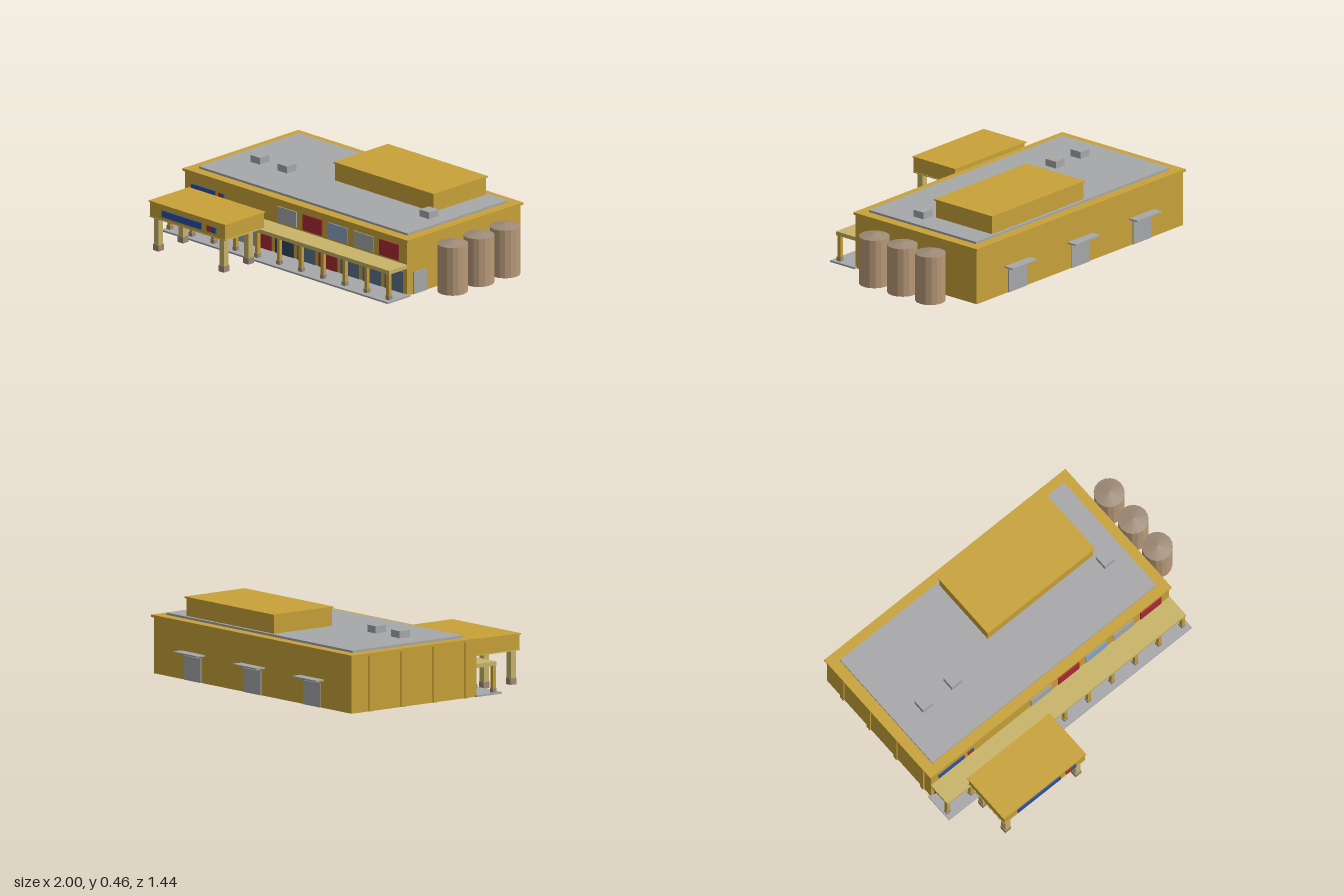
import * as THREE from 'three';

const mat = (name, color) => Object.assign(new THREE.MeshStandardMaterial({ color }), { name });

export function createModel() {
  const gold = mat('goldWall', 0xc8a239), tan = mat('tanTrim', 0xc8b468), grey = mat('grey', 0xa7a8aa);
  const red = mat('red', 0xa92a34), blue = mat('signBlue', 0x2a4fa3), sky = mat('paleGlass', 0x8ca6c4);
  const steel = mat('steelGlass', 0x5a728a), navy = mat('darkGlass', 0x33475a);
  const tankSide = mat('tankSide', 0xb99b79), brown = mat('brown', 0x9f8b78);
  tankSide.flatShading = brown.flatShading = true;

  const model = new THREE.Group();
  model.name = 'storeBuilding';

  // Box given by its limits on each axis
  const box = (name, m, x0, x1, y0, y1, z0, z1) => {
    const mesh = new THREE.Mesh(new THREE.BoxGeometry(x1 - x0, y1 - y0, z1 - z0), m);
    mesh.position.set((x0 + x1) / 2, (y0 + y1) / 2, (z0 + z1) / 2);
    mesh.name = name;
    model.add(mesh);
    return mesh;
  };
  // Square post standing on a wider foot
  const post = (name, m, x, z, w, footW, y0, footTop, top) => {
    box(name, m, x - w / 2, x + w / 2, footTop, top, z - w / 2, z + w / 2);
    box(name + 'Foot', brown, x - footW / 2, x + footW / 2, y0, footTop, z - footW / 2, z + footW / 2);
  };

  // Main hall, cornice and roof
  box('mainHall', gold, -0.985, 0.79, 0, 0.325, -0.66, 0.26);
  box('cornice', gold, -0.997, 0.802, 0.325, 0.339, -0.672, 0.268);
  box('roofDeck', grey, -0.93, 0.74, 0.339, 0.352, -0.61, 0.205);
  box('upperBlock', gold, -0.205, 0.582, 0.352, 0.455, -0.592, -0.165);
  box('upperBlockCap', gold, -0.21, 0.59, 0.455, 0.464, -0.6, -0.158);
  for (const x of [-0.738, -0.523, 0.616]) box('roofVent', grey, x - 0.038, x + 0.038, 0.352, 0.393, -0.135, -0.058);

  // Arcade along the front
  box('sidewalk', grey, -1, 0.81, 0, 0.01, 0.25, 0.437);
  box('arcadeRoof', tan, -0.987, 0.792, 0.165, 0.188, 0.26, 0.407);
  for (let i = 0; i <= 10; i++) post('arcadePost', gold, -0.975 + i * 0.175, 0.392, 0.022, 0.028, 0.01, 0.034, 0.165);

  // Shop windows between the posts
  [navy, red, null, red, navy, steel, red, steel, steel, steel].forEach((m, i) => {
    const x = -0.8875 + i * 0.175;
    if (m) box('shopWindow', m, x - 0.074, x + 0.074, 0.01, 0.14, 0.26, 0.265);
  });
  box('entranceDoors', sky, -0.645, -0.4, 0.01, 0.135, 0.26, 0.268);
  box('entranceSign', blue, -0.68, -0.36, 0.129, 0.154, 0.26, 0.281);

  // Upper wall panels
  [grey, red, sky, grey, red].forEach((m, i) => {
    const x = -0.167 + i * 0.2045;
    box('wallPanel', m, x - 0.077, x + 0.077, 0.2, 0.294, 0.26, 0.267);
  });

  // Wall sign and porch sign: one long board and two small squares
  const sign = (name, x, s, z) => {
    const part = (m, a, b, y0, y1) => box(name, m, x + a * s, x + b * s, y0, y1, z, z + 0.008);
    part(blue, 0, 0.317, 0.223, 0.262);
    part(red, 0.36, 0.397, 0.226, 0.26);
    part(blue, 0.397, 0.432, 0.226, 0.26);
  };
  sign('wallSign', -0.93, 0.6, 0.26);
  sign('porchSign', -0.722, 1, 0.711);

  // Entrance porch
  box('porchRoof', gold, -0.82, -0.22, 0.204, 0.29, 0.397, 0.711);
  box('porchRoofCap', gold, -0.827, -0.213, 0.29, 0.297, 0.39, 0.716);
  box('porchRoofRim', tan, -0.823, -0.217, 0.198, 0.204, 0.394, 0.713);
  for (const x of [-0.784, -0.26]) for (const z of [0.681, 0.482]) post('porchPost', tan, x, z, 0.037, 0.044, 0, 0.037, 0.198);

  // Side door on the left, pilasters on the right
  box('sideDoor', grey, 0.79, 0.796, 0, 0.132, 0.105, 0.21);
  for (const z of [-0.52, -0.285, -0.05, 0.185]) box('pilaster', gold, -0.994, -0.985, 0, 0.325, z - 0.014, z + 0.014);

  // Loading doors with awnings at the back
  for (const x of [-0.63, -0.098, 0.442]) {
    box('loadingDoor', grey, x - 0.077, x + 0.077, 0, 0.14, -0.666, -0.66);
    box('loadingAwning', grey, x - 0.107, x + 0.107, 0.156, 0.165, -0.72, -0.66);
  }

  // Storage tanks
  for (const z of [0.012, -0.202, -0.414]) {
    const side = new THREE.Mesh(new THREE.CylinderGeometry(0.087, 0.087, 0.288, 16), [tankSide, brown, brown]);
    side.name = 'tank';
    side.position.set(0.911, 0.144, z);
    const lid = new THREE.Mesh(new THREE.ConeGeometry(0.089, 0.019, 16), brown);
    lid.name = 'tankLid';
    lid.position.set(0.911, 0.2975, z);
    model.add(side, lid);
  }
  return model;
}
